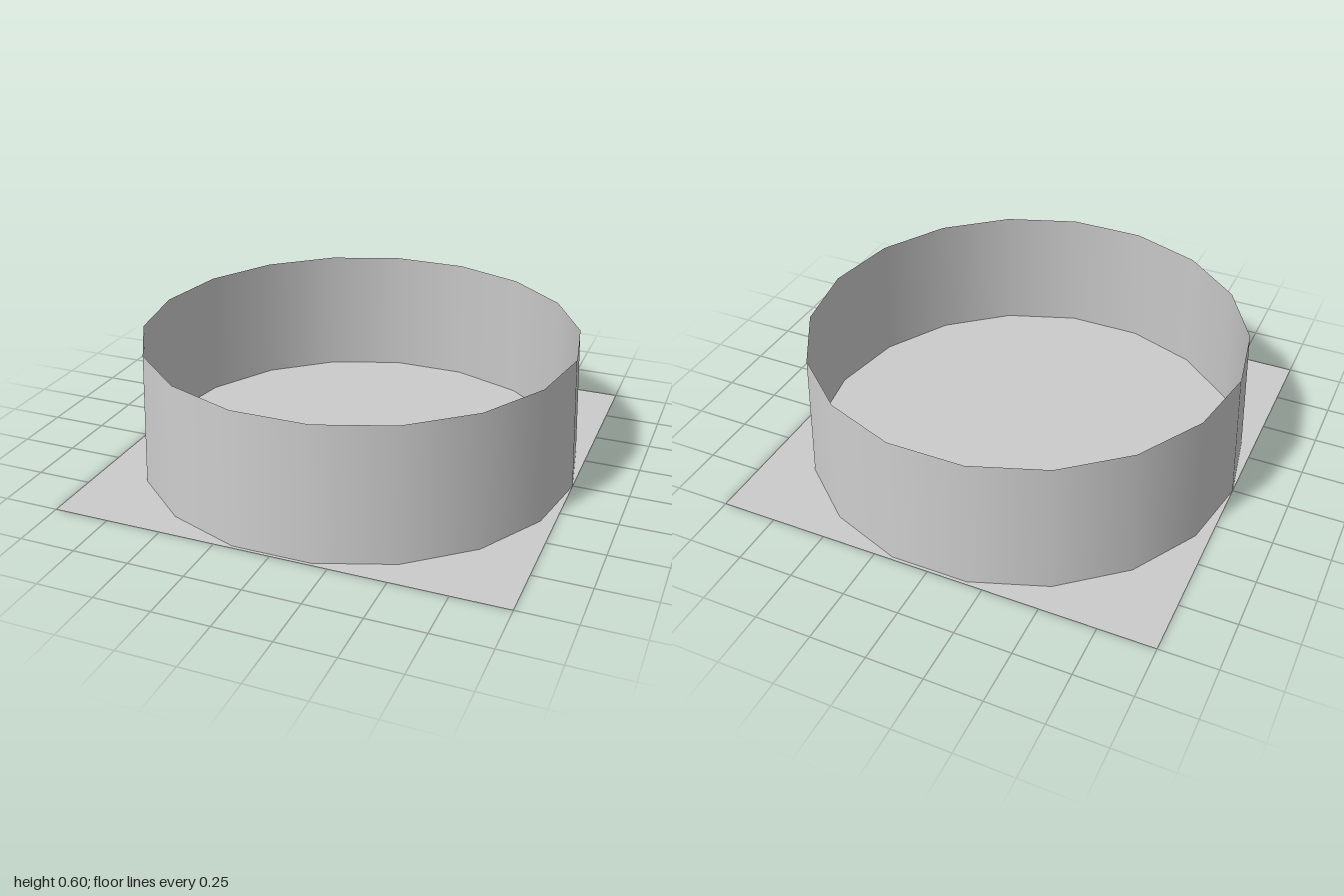
import * as THREE from 'three';

export function createModel() {
  const group = new THREE.Group();
  const material = new THREE.MeshStandardMaterial({ color: 0xcccccc, side: THREE.DoubleSide });

  // Flat square sheet on the ground
  const base = new THREE.Mesh(new THREE.PlaneGeometry(2, 2).rotateX(-Math.PI / 2), material);
  base.name = 'basePlate';

  // Thin open wall with 18 sides, tapering slightly inward; corners lie on the x axis
  const height = 0.6;
  const wall = new THREE.Mesh(
    new THREE.CylinderGeometry(0.975, 1, height, 18, 1, true, Math.PI / 2),
    material
  );
  wall.position.y = height / 2;
  wall.name = 'ringWall';

  group.add(base, wall);
  return group;
}
